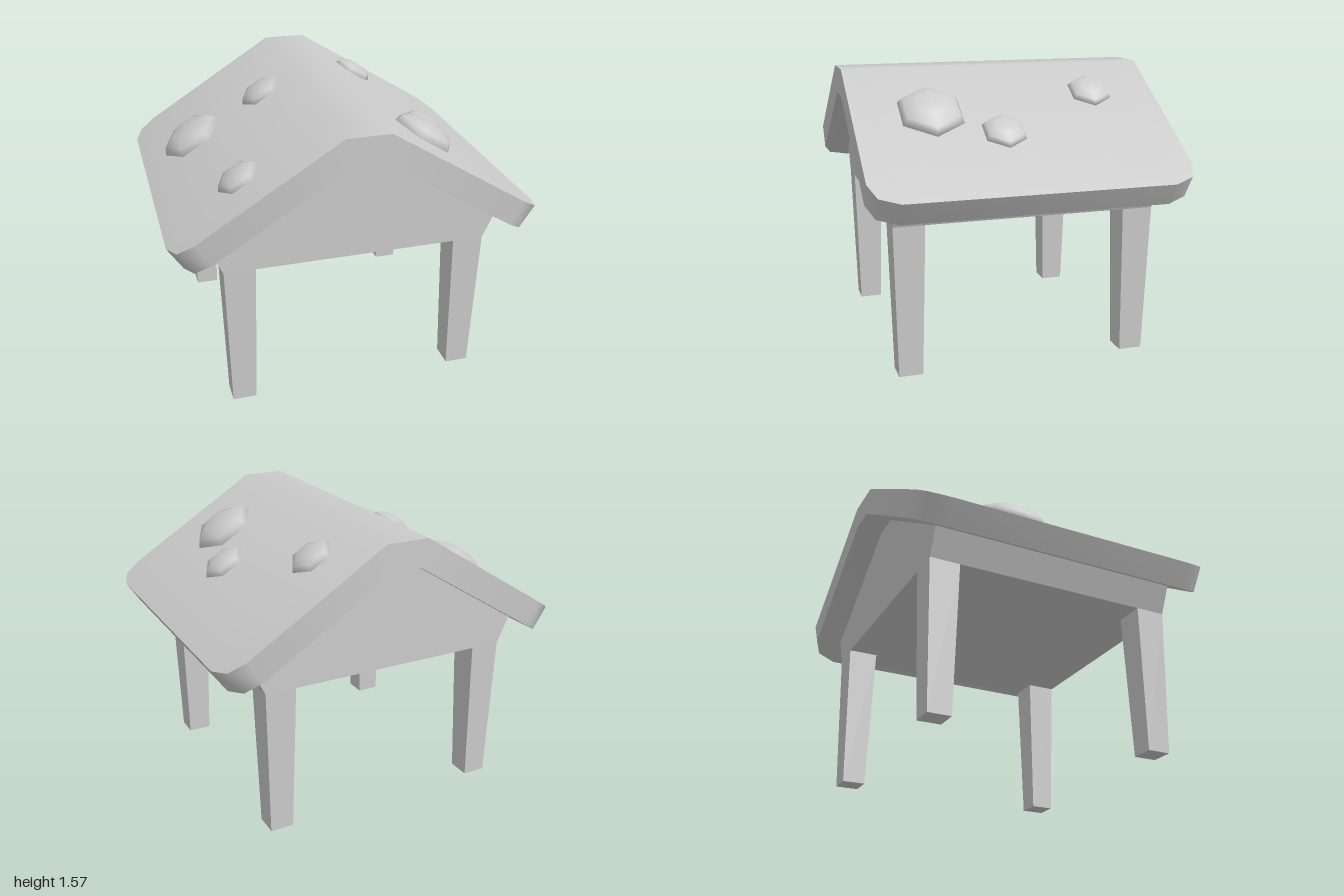
import * as THREE from 'three';
import { toCreasedNormals } from 'three/addons/utils/BufferGeometryUtils.js';

const SLOPE = Math.atan2(0.55, 0.88);
const material = new THREE.MeshStandardMaterial({ color: 0xcccccc });

function add(parent, name, geometry) {
  const mesh = new THREE.Mesh(geometry, material);
  mesh.name = name;
  parent.add(mesh);
  return mesh;
}

// Roof: one bent slab lofted along z, its eaves drawn in at the rounded corners
function roofGeometry() {
  const stations = [[-0.87, 0.125], [-0.83, 0.04], [-0.72, 0], [0.72, 0], [0.83, 0.04], [0.87, 0.125]];
  const positions = [];
  const quad = (a, b, c, d) => positions.push(...a, ...b, ...c, ...a, ...c, ...d);
  const rings = stations.map(([z, inset]) => {
    const xo = 1 - inset, yo = 1.02 + inset * 0.625;
    const xi = 0.92 - inset, yi = 0.897 + inset * 0.625;
    return [
      [-xo, yo, z], [-0.12, 1.57, z], [0.12, 1.57, z], [xo, yo, z],
      [xi, yi, z], [0.08, 1.42, z], [-0.08, 1.42, z], [-xi, yi, z],
    ];
  });
  for (let s = 0; s < rings.length - 1; s++) {
    const back = rings[s], front = rings[s + 1];
    for (let i = 0; i < 8; i++) {
      const j = (i + 1) % 8;
      quad(front[i], front[j], back[j], back[i]);
    }
  }
  // gable ends
  const first = rings[0], last = rings[rings.length - 1];
  for (let i = 0; i < 3; i++) {
    quad(last[7 - i], last[6 - i], last[i + 1], last[i]);
    quad(first[i], first[i + 1], first[6 - i], first[7 - i]);
  }
  const geometry = new THREE.BufferGeometry();
  geometry.setAttribute('position', new THREE.Float32BufferAttribute(positions, 3));
  return toCreasedNormals(geometry, 0.8);
}

export function createModel() {
  const model = new THREE.Group();
  model.name = 'shelter';

  add(model, 'roof', roofGeometry());

  // Solid gable body under the roof
  const outline = new THREE.Shape([
    [-0.72, 0.83], [0.72, 0.83], [0.79, 0.98], [0.08, 1.422], [-0.08, 1.422], [-0.79, 0.98],
  ].map(([x, y]) => new THREE.Vector2(x, y)));
  const body = new THREE.ExtrudeGeometry(outline, { depth: 1.44, bevelEnabled: false });
  body.translate(0, 0, -0.72);
  add(model, 'gableBody', body);

  // Four square legs, tapering downwards
  const leg = new THREE.CylinderGeometry(0.085 * Math.SQRT2, 0.065 * Math.SQRT2, 0.83, 4)
    .rotateY(Math.PI / 4).toNonIndexed();
  leg.computeVertexNormals();
  for (const x of [-1, 1]) {
    for (const z of [-1, 1]) {
      const name = (z > 0 ? 'front' : 'back') + (x > 0 ? 'Left' : 'Right') + 'Leg';
      add(model, name, leg).position.set(x * 0.635, 0.415, z * 0.635);
    }
  }

  // Six-sided domed bumps, half sunk in the slopes: x, z, radius
  const bumps = new THREE.Group();
  bumps.name = 'roofBumps';
  model.add(bumps);
  const dome = new THREE.SphereGeometry(1, 6, 6);
  for (const [x, z, r] of [
    [-0.71, -0.245, 0.19], [-0.305, -0.2, 0.126], [-0.59, 0.54, 0.126],
    [0.345, -0.49, 0.126], [0.6, 0.09, 0.126], [0.45, 0.45, 0.19],
  ]) {
    const bump = add(bumps, 'roofBump', dome);
    bump.position.set(x, 1.57 - (Math.abs(x) - 0.12) * 0.625, z);
    bump.rotation.z = -Math.sign(x) * SLOPE;
    bump.scale.set(r, r * 0.43, r);
  }

  return model;
}
